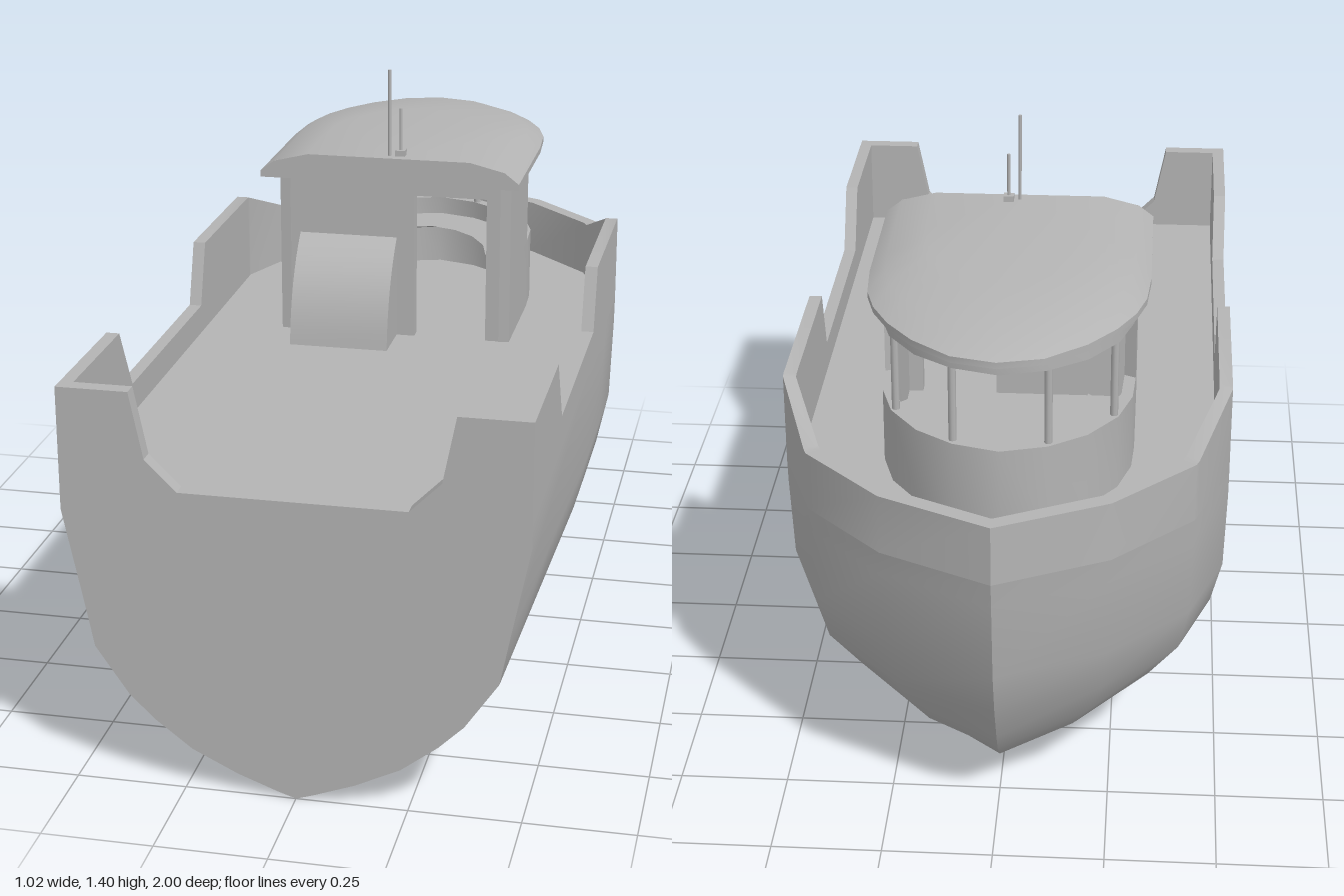
import * as THREE from 'three';
import { toCreasedNormals } from 'three/addons/utils/BufferGeometryUtils.js';

const paint = new THREE.MeshStandardMaterial({ color: 0xb4b4b4, side: THREE.DoubleSide });
paint.name = 'grey paint';

const DECK = 0.71;

function add(parent, name, geometry) {
  const mesh = new THREE.Mesh(geometry, paint);
  mesh.name = name;
  parent.add(mesh);
  return mesh;
}

// Linear lookup in a table of [key, value, ...] rows with falling keys.
function lookup(table, key, col = 1) {
  for (let i = 1; i < table.length; i++) {
    const a = table[i - 1], b = table[i];
    if (key >= b[0]) return a[col] + (b[col] - a[col]) * (a[0] - key) / (a[0] - b[0]);
  }
  return table[table.length - 1][col];
}

// Surface through rows of points with equal counts.
function loft(rows, crease = 0.6) {
  const n = rows[0].length, index = [];
  for (let i = 0; i < rows.length - 1; i++) {
    for (let j = 0; j < n - 1; j++) {
      const a = i * n + j, d = a + n;
      index.push(a, a + 1, d + 1, a, d + 1, d);
    }
  }
  const g = new THREE.BufferGeometry();
  g.setAttribute('position', new THREE.Float32BufferAttribute(rows.flat(2), 3));
  g.setIndex(index);
  return toCreasedNormals(g, crease);
}

// Half outline starting on +x and ending on the centre line, mirrored to -x.
const mirror = (half) => [...half, ...half.slice(0, -1).reverse().map(([x, ...r]) => [-x, ...r])];

// Plan outline of [x, distance toward the bow], extruded from y0 to y1.
function slab(points, y0, y1) {
  const shape = new THREE.Shape(points.map(([x, d]) => new THREE.Vector2(x, d)));
  const g = new THREE.ExtrudeGeometry(shape, { depth: y1 - y0, bevelEnabled: false });
  g.rotateX(-Math.PI / 2).translate(0, y0, 0);
  return toCreasedNormals(g, 0.6);
}

// Upright shape in x and y, extruded along z.
function plate(points, z, depth) {
  const shape = new THREE.Shape(points.map(([x, y]) => new THREE.Vector2(x, y)));
  return new THREE.ExtrudeGeometry(shape, { depth, bevelEnabled: false }).translate(0, 0, z);
}

// Deck outline: outer z, outer x, inner x, inner z
const RAIL = [[1, 0.51, 0.48, 1], [-0.48, 0.51, 0.48, -0.48], [-0.7, 0.43, 0.4, -0.68],
  [-0.88, 0.25, 0.235, -0.845], [-1, 0, 0, -0.96]];
// Gunwale height along z
const SHEER = [[1, 0.93], [0.65, 0.93], [0.57, 0.78], [0, 0.78], [-0.05, 0.93], [-0.47, 0.93],
  [-0.68, 0.85], [-1, 0.85]];
// Waterlines: y, half beam, stem z
const LINES = [[0.003, 0, -0.27], [0.015, 0.04, -0.49], [0.05, 0.14, -0.67], [0.1, 0.25, -0.75],
  [0.165, 0.34, -0.82], [0.22, 0.4, -0.855], [0.33, 0.48, -0.915], [0.45, 0.505, -0.96],
  [0.65, 0.51, -0.99], [DECK, 0.51, -1]];

// The hull narrows slightly toward the transom below the waterline.
const taper = (y, z) => 1 - 0.07 * Math.max(0, z) * Math.min(1, Math.max(0, (0.65 - y) / 0.2));

function buildHull(boat) {
  const hull = new THREE.Group();
  hull.name = 'hull';
  boat.add(hull);

  const stations = [1, 0.5, 0, -0.27, -0.48, -0.7, -0.88, -1];
  add(hull, 'hullShell', loft(LINES.map(([y, beam, stem]) => mirror(stations.map((s) => {
    const z = 1 + (s - 1) * (1 - stem) / 2;
    return [beam * lookup(RAIL, s) / 0.51 * taper(y, z), y, z];
  })))));

  // Bulwark: outer wall, cap and inner wall
  const along = [1, 0.65, 0.57, 0, -0.05, -0.47, -0.48, -0.68, -0.7, -0.88, -1];
  const ring = (inner, top) => mirror(along.map((z) => [
    lookup(RAIL, z, inner ? 2 : 1), top ? lookup(SHEER, z) : DECK, inner ? lookup(RAIL, z, 3) : z]));
  add(hull, 'bulwark', loft([ring(false, false), ring(false, true), ring(true, true), ring(true, false)]));

  // Transom with the stern opening
  const half = LINES.map(([y, beam]) => [beam * taper(y, 1), y]);
  const side = [...half, [0.51, 0.93], [0.35, 0.93], [0.32, 0.78], [0.25, DECK]];
  const other = side.slice(1).reverse().map(([x, y]) => [-x, y]);
  add(hull, 'transom', plate([...side, ...other], 0.965, 0.035));

  const deckHalf = RAIL.map(([, , x, z]) => [x, -Math.min(z, 0.98)]);
  add(hull, 'deck', slab(mirror(deckHalf), DECK - 0.02, DECK));
}

const CABIN = [[0.29, 0.08], [0.29, 0.365], [0.285, 0.46], [0.255, 0.56], [0.19, 0.65],
  [0.105, 0.71], [0, 0.74]];
const inset = ([x, d]) => [x * 0.91, d * 0.965];
const ribbon = (pts) => [...pts, ...pts.map(inset).reverse()];

function buildCabin(boat) {
  const cabin = new THREE.Group();
  cabin.name = 'wheelhouse';
  boat.add(cabin);

  // Walls below and above the wraparound window
  const around = mirror(CABIN);
  add(cabin, 'lowerWall', slab(ribbon(around), DECK, 0.89));
  add(cabin, 'windowHeader', slab(ribbon(around), 1.075, 1.13));
  for (const s of [1, -1]) {
    const wall = CABIN.slice(0, 2).map(([x, d]) => [s * x, d]);
    add(cabin, 'sideWall', slab(ribbon(wall), 0.89, 1.075));
    for (const [x, d] of [[0.245, 0.55], [0.105, 0.69]]) {
      add(cabin, 'windowPost', new THREE.CylinderGeometry(0.009, 0.009, 0.19, 8))
        .position.set(s * x, 0.982, -d);
    }
  }

  // Aft wall with the doorway
  add(cabin, 'aftWall', plate([[-0.29, DECK], [0.05, DECK], [0.05, 1.075], [0.23, 1.075],
    [0.23, DECK], [0.288, DECK], [0.288, 1.13], [-0.29, 1.13]], -0.11, 0.03));

  // Crescent console under the windows
  const rim = mirror(CABIN.slice(2)).map(inset);
  const row = (k, y) => rim.map(([x, d]) => [x * k, y, -d * (0.4 + 0.6 * k)]);
  add(cabin, 'console', loft([row(1, 0.805), row(0.7, 0.845), row(1, 0.845)]));

  // Rounded locker against the aft wall
  const profile = new THREE.Shape();
  profile.moveTo(0.1, DECK);
  profile.lineTo(-0.045, DECK);
  profile.quadraticCurveTo(-0.03, 0.87, 0.08, 0.965);
  profile.lineTo(0.1, 0.965);
  const locker = new THREE.ExtrudeGeometry(profile, { depth: 0.245, bevelEnabled: false, curveSegments: 8 });
  locker.rotateY(Math.PI / 2).translate(-0.24, 0, 0);
  add(cabin, 'locker', toCreasedNormals(locker, 0.6));
}

function buildRoof(boat) {
  const roof = new THREE.Group();
  roof.name = 'roof';
  boat.add(roof);

  // Domed shell whose rings shrink toward the middle of the aft edge
  const outline = mirror([[0.32, 0], [0.32, 0.36], [0.312, 0.47], [0.29, 0.55], [0.25, 0.63],
    [0.19, 0.71], [0.1, 0.785], [0, 0.81]]);
  const ring = (k, y) => outline.map(([x, d]) => [x * k, y, -d * k]);
  add(roof, 'roofShell', loft([ring(0, 1.125), ring(1, 1.125), ring(1, 1.14), ring(0.89, 1.167),
    ring(0.63, 1.188), ring(0, 1.188)]));
  add(roof, 'roofAftFace', plate([[-0.32, 1.125], [0.32, 1.125], [0.32, 1.14], [0.285, 1.167],
    [0.2, 1.188], [-0.2, 1.188], [-0.285, 1.167], [-0.32, 1.14]], -0.004, 0.004));

  // Aerials
  for (const [x, z, top] of [[-0.002, -0.028, 1.4], [0.024, -0.036, 1.305]]) {
    add(roof, 'aerial', new THREE.CylinderGeometry(0.004, 0.004, top - 1.18, 8))
      .position.set(x, (top + 1.18) / 2, z);
  }
  add(roof, 'aerialBase', new THREE.BoxGeometry(0.024, 0.016, 0.024)).position.set(0.024, 1.194, -0.036);
}

export function createModel() {
  const boat = new THREE.Group();
  boat.name = 'boat';
  buildHull(boat);
  buildCabin(boat);
  buildRoof(boat);
  return boat;
}
